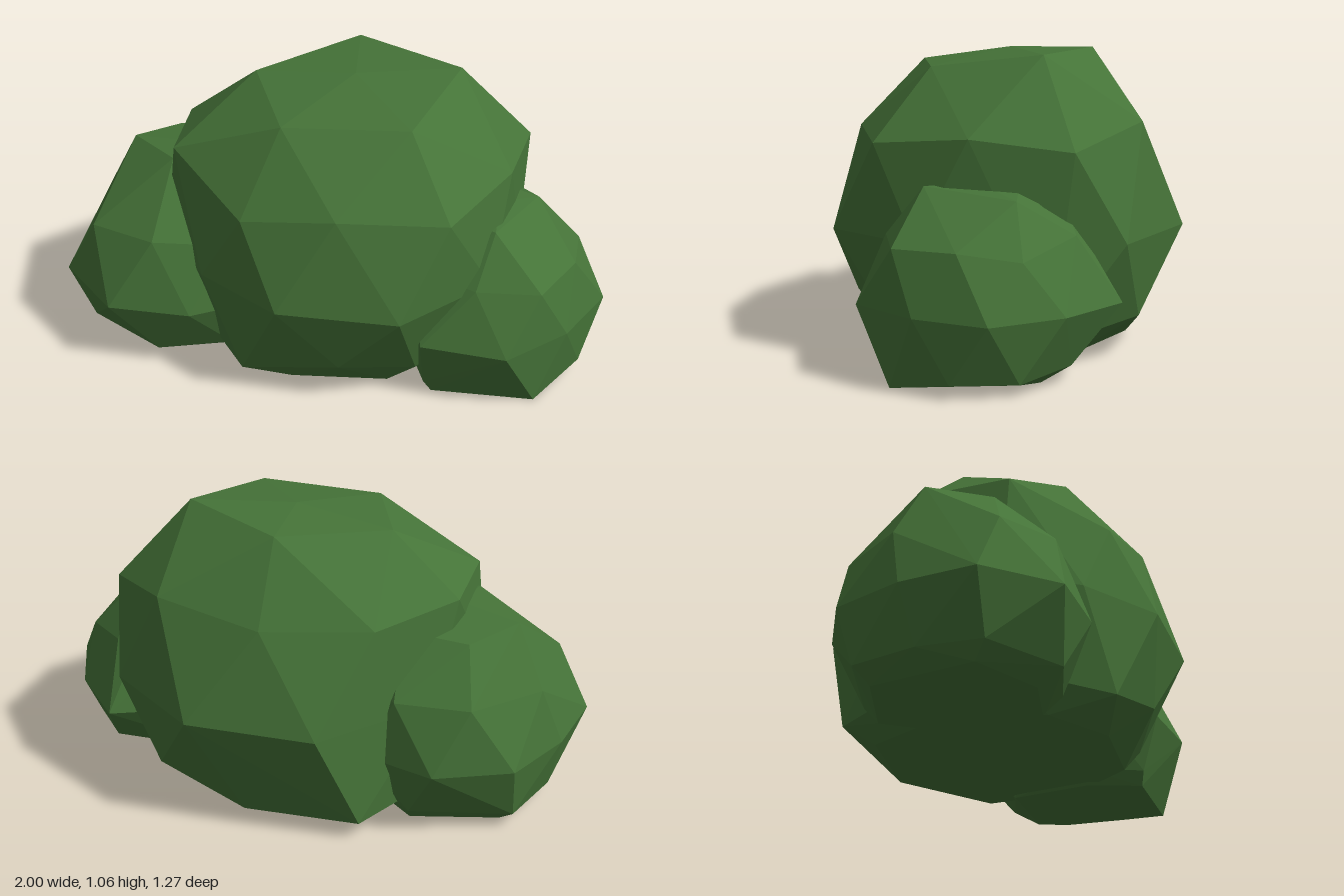
import * as THREE from 'three';
import { ConvexGeometry } from 'three/addons/geometries/ConvexGeometry.js';

const leaf = new THREE.MeshStandardMaterial({ color: 0x457338, flatShading: true });

// A faceted clump: the convex skin over stacked rings of [x, y, z] points.
function clump(name, ...rings) {
  const points = rings.flat().map((p) => new THREE.Vector3(...p));
  const mesh = new THREE.Mesh(new ConvexGeometry(points), leaf);
  mesh.name = name;
  return mesh;
}

// Ring at one height, from [x, z] pairs.
const level = (y, pairs) => pairs.map(([x, z]) => [x, y, z]);

export function createModel() {
  const group = new THREE.Group();
  group.name = 'bush';

  // Large middle clump: crown, shoulder, waist, underside and flat base
  group.add(clump('mainClump',
    [[0.08, 1.06, -0.03], [0.1, 1.055, -0.33], [0.46, 1.06, -0.07],
      [0.27, 1.01, 0.29], [-0.18, 1.0, 0.25], [-0.28, 1.02, -0.12]],
    [[0.73, 0.76, -0.12], [0.63, 0.8, 0.22], [0.4, 0.765, 0.51], [0.01, 0.78, 0.51],
      [-0.32, 0.725, 0.42], [-0.57, 0.825, 0.1], [-0.53, 0.81, -0.2],
      [-0.27, 0.78, -0.44], [0.12, 0.78, -0.51], [0.5, 0.83, -0.41]],
    level(0.44, [
      [-0.1, -0.64], [0.37, -0.6], [0.69, -0.31], [0.69, 0.06], [0.56, 0.39],
      [0.23, 0.635], [-0.2, 0.57], [-0.47, 0.34], [-0.61, 0.08], [-0.46, -0.31],
    ]),
    [[-0.24, 0.07, -0.55], [0.52, 0.15, -0.4], [0.68, 0.1, -0.05], [0.57, 0.12, 0.2],
      [0.3, 0.11, 0.45], [0.02, 0.17, 0.53], [-0.33, 0.09, 0.43],
      [-0.52, 0.12, 0.1], [-0.46, 0.1, -0.28]],
    level(0.01, [
      [-0.2, -0.44], [0.2, -0.44], [0.5, -0.15], [0.42, 0.2], [0.2, 0.4],
      [-0.15, 0.38], [-0.38, 0.2], [-0.42, -0.15],
    ])));

  // Clump on the right side
  group.add(clump('rightClump',
    [[-0.52, 0.745, -0.08], [-0.74, 0.72, -0.16], [-0.58, 0.75, 0.05],
      [-0.33, 0.73, 0.02], [-0.34, 0.7, -0.26], [-0.58, 0.69, -0.3]],
    [[-0.88, 0.505, 0.12], [-0.65, 0.53, 0.27], [-0.38, 0.51, 0.26], [-0.18, 0.51, 0.08],
      [-0.18, 0.51, -0.22], [-0.34, 0.51, -0.44], [-0.61, 0.51, -0.45],
      [-0.84, 0.5, -0.24]],
    level(0.275, [
      [-1, 0.07], [-0.82, 0.32], [-0.52, 0.37], [-0.25, 0.27], [-0.08, 0.05],
      [-0.08, -0.2], [-0.22, -0.42], [-0.49, -0.53], [-0.77, -0.44], [-0.92, -0.2],
    ]),
    level(0.065, [
      [-0.91, 0.08], [-0.65, 0.29], [-0.38, 0.25], [-0.2, 0.05], [-0.2, -0.25],
      [-0.4, -0.43], [-0.77, -0.38], [-0.88, -0.15],
    ]),
    level(0.01, [
      [-0.86, 0.04], [-0.62, 0.2], [-0.35, 0.18], [-0.25, -0.1], [-0.4, -0.38],
      [-0.72, -0.33],
    ])));

  // Clump on the left side
  group.add(clump('leftClump',
    [[0.6, 0.645, 0.17], [0.57, 0.64, 0.36], [0.75, 0.61, 0.08], [0.64, 0.635, 0.05],
      [0.64, 0.57, -0.11], [0.42, 0.62, 0.2]],
    [[0.5, 0.47, 0.48], [0.73, 0.465, 0.49], [0.87, 0.47, 0.3], [0.91, 0.44, 0.09],
      [0.75, 0.49, -0.12], [0.5, 0.49, -0.12], [0.32, 0.47, 0.1], [0.32, 0.47, 0.35]],
    level(0.257, [
      [1, 0.22], [0.84, 0.44], [0.61, 0.595], [0.31, 0.52], [0.24, 0.3],
      [0.25, 0.05], [0.42, -0.18], [0.75, -0.28], [0.92, -0.05],
    ]),
    [[0.91, 0.05, 0.33], [0.91, 0.04, 0.1], [0.78, 0.06, -0.1], [0.45, 0.06, -0.1],
      [0.28, 0.05, 0.25], [0.33, 0.05, 0.46]],
    level(0, [[0.73, 0.5], [0.76, 0], [0.42, -0.04], [0.32, 0.25], [0.36, 0.45]])));

  return group;
}
